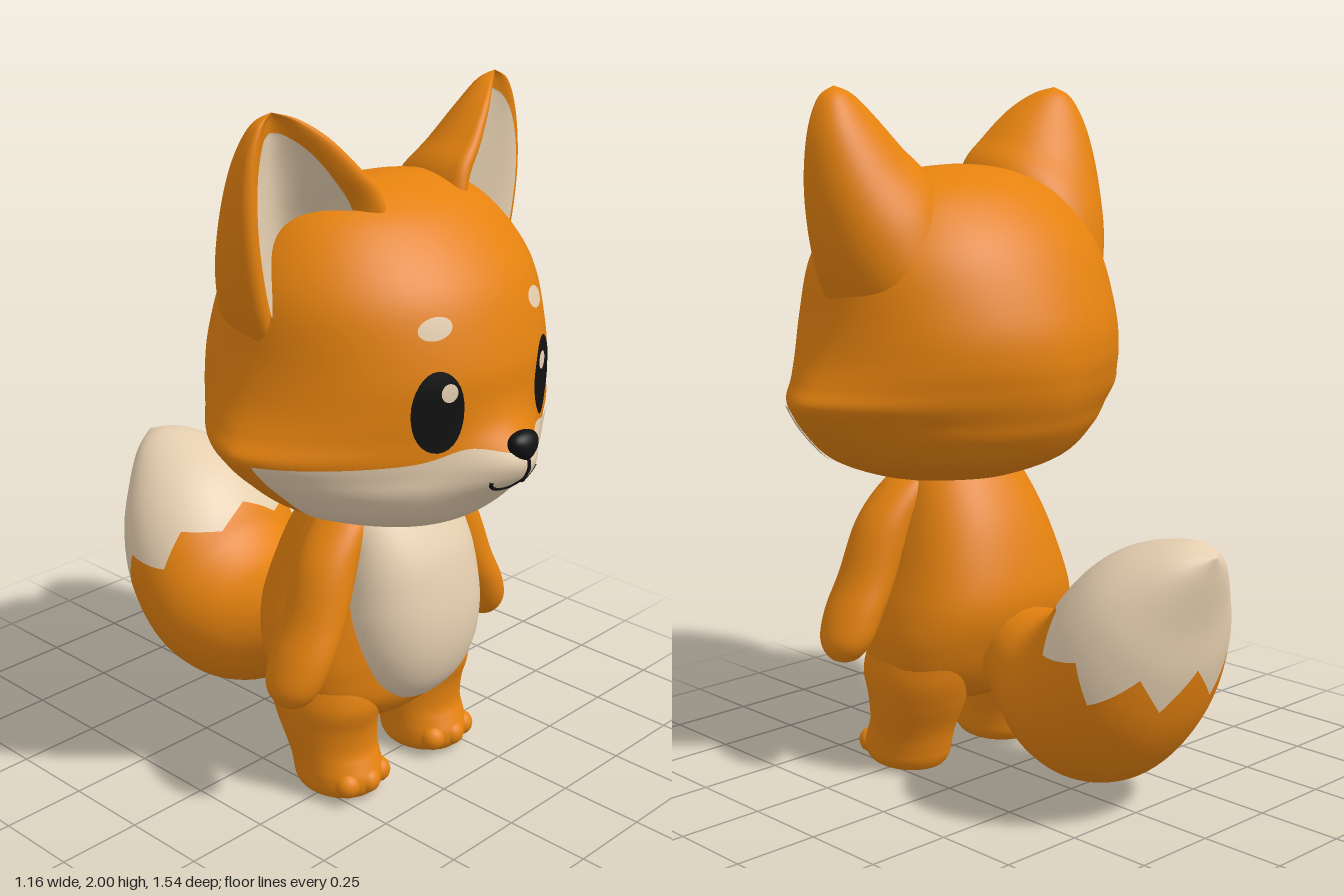
import * as THREE from 'three';
import { mergeVertices } from 'three/addons/utils/BufferGeometryUtils.js';

const material = (name, color) => Object.assign(new THREE.MeshStandardMaterial({ color }), { name });
const TAU = Math.PI * 2;

// Catmull-Rom blend of table rows at a fractional index
function sample(rows, t) {
  const last = rows.length - 1;
  const i = Math.min(Math.floor(t), last - 1), f = t - i;
  const row = (k) => rows[Math.max(0, Math.min(last, k))];
  const [a, b, c, d] = [row(i - 1), row(i), row(i + 1), row(i + 2)];
  return b.map((p, k) => p + 0.5 * f * (c[k] - a[k]
    + f * (2 * a[k] - 5 * p + 4 * c[k] - d[k] + f * (3 * (p - c[k]) + d[k] - a[k]))));
}

// Smooth mesh from point(u, v), u and v covering the given ranges
function surface(name, mat, point, [u0, u1, nu], [v0, v1, nv], flip = false) {
  const pos = [], index = [];
  for (let j = 0; j <= nv; j++)
    for (let i = 0; i <= nu; i++)
      pos.push(...point(u0 + (u1 - u0) * i / nu, v0 + (v1 - v0) * j / nv));
  for (let j = 0; j < nv; j++)
    for (let i = 0; i < nu; i++) {
      const a = j * (nu + 1) + i, b = a + 1, c = a + nu + 1, d = c + 1;
      index.push(...(flip ? [a, b, c, b, d, c] : [a, c, b, b, c, d]));
    }
  let geo = new THREE.BufferGeometry();
  geo.setAttribute('position', new THREE.Float32BufferAttribute(pos, 3));
  geo.setIndex(index);
  geo = mergeVertices(geo, 1e-5);
  geo.computeVertexNormals();
  const mesh = new THREE.Mesh(geo, mat);
  mesh.name = name;
  return mesh;
}

// Rows of horizontal rings: y, centre x, half width, front z, back z, widest z, roundness
const rings = (rows) => rows.map(([y, cx, w, zf, zb, zc = (zf + zb) / 2, n = 2]) => [y, cx, w, zf, zb, zc, n]);
const bend = (v, e) => Math.sign(v) * Math.abs(v) ** e;
function ringPoint(rows, a, t) {
  const [y, cx, w, zf, zb, zc, n] = sample(rows, t);
  const s = bend(Math.sin(a), 2 / n);
  return [cx + w * bend(Math.cos(a), 2 / n), y, zc + s * (s > 0 ? zf - zc : zc - zb)];
}
const ringMesh = (name, mat, rows, side = 1) => surface(name, mat, (a, t) => {
  const [x, y, z] = ringPoint(rows, a, t);
  return [side * x, y, z];
}, [0, TAU, 48], [0, rows.length - 1, (rows.length - 1) * 5], side < 0);

const HEAD = rings([
  [0.85, 0, 0, 0.34, 0.34, 0.34, 2], [0.857, 0, 0.13, 0.45, 0.17, 0.32, 2],
  [0.88, 0, 0.24, 0.53, 0.05, 0.3, 1.9], [0.94, 0, 0.39, 0.61, -0.1, 0.28, 1.8],
  [1.02, 0, 0.49, 0.662, -0.175, 0.26, 1.7], [1.08, 0, 0.55, 0.67, -0.205, 0.25, 1.6],
  [1.13, 0, 0.58, 0.67, -0.225, 0.24, 1.6], [1.18, 0, 0.55, 0.67, -0.235, 0.23, 1.7],
  [1.25, 0, 0.515, 0.67, -0.24, 0.22, 1.85], [1.35, 0, 0.488, 0.665, -0.225, 0.21, 1.95],
  [1.5, 0, 0.462, 0.622, -0.165, 0.21, 2], [1.6, 0, 0.415, 0.56, -0.105, 0.215, 2],
  [1.69, 0, 0.335, 0.47, -0.02, 0.22, 2], [1.74, 0, 0.245, 0.39, 0.06, 0.225, 2],
  [1.77, 0, 0.13, 0.305, 0.15, 0.23, 2], [1.78, 0, 0, 0.23, 0.23, 0.23, 2],
]);
const snout = (x, y) => 0.08 * Math.exp(-((x / 0.14) ** 2) - ((y - 1.09) / 0.085) ** 2);
function headPoint(a, t) {
  const [x, y, z] = ringPoint(HEAD, a, t);
  return [x, y, Math.sin(a) > 0 ? z + snout(x, y) : z];
}
function headIndex(y) {
  let lo = 0, hi = HEAD.length - 1;
  for (let i = 0; i < 40; i++) {
    const m = (lo + hi) / 2;
    if (sample(HEAD, m)[0] < y) lo = m; else hi = m;
  }
  return lo;
}
function faceZ(x, y) {
  const [, , w, zf, , zc, n] = sample(HEAD, headIndex(y));
  return zc + (zf - zc) * Math.max(0, 1 - Math.abs(x / w) ** n) ** (1 / n) + snout(x, y);
}

// Thin oval lying on the face
const faceOval = (name, mat, cx, cy, rx, ry, lift, tilt = 0) => surface(name, mat, (a, r) => {
  const p = r * rx * Math.cos(a), q = r * ry * Math.sin(a);
  const x = cx + p * Math.cos(tilt) - q * Math.sin(tilt), y = cy + p * Math.sin(tilt) + q * Math.cos(tilt);
  return [x, y, faceZ(x, y) + lift];
}, [0, TAU, 32], [0, 1, 6]);

// Ear sections: inner edge xyz, outer edge xyz, depth of the rounded back
const EAR = [
  [0.15, 1.48, 0.32, 0.4, 1.33, 0.22, 0.2], [0.12, 1.62, 0.36, 0.46, 1.39, 0.22, 0.29],
  [0.15, 1.77, 0.35, 0.51, 1.52, 0.23, 0.27], [0.22, 1.85, 0.34, 0.535, 1.7, 0.24, 0.2],
  [0.3, 1.93, 0.315, 0.525, 1.86, 0.245, 0.125], [0.37, 1.98, 0.28, 0.485, 1.965, 0.25, 0.06],
  [0.43, 2, 0.25, 0.43, 2, 0.25, 0],
];
function earPoint(side, a, t, lift = 0) {
  const [ax, ay, az, bx, by, bz, d] = sample(EAR, t);
  const c = Math.cos(a), s = Math.sin(a);
  const n = (s > 0 ? d * (0.35 * s - 0.75 * s ** 4) : -d * Math.abs(s) ** 0.8) + lift;
  const mix = (p, q) => (p + q) / 2 + c * (q - p) / 2;
  return [side * (mix(ax, bx) + 0.1 * n), mix(ay, by), mix(az, bz) + n];
}

// Tail sections: top z, top y, bottom z, bottom y, half width
const TAIL = [
  [0.02, 0.5, 0.06, 0.27, 0.1], [-0.1, 0.51, -0.08, 0.19, 0.17], [-0.2, 0.525, -0.22, 0.1, 0.23],
  [-0.28, 0.58, -0.37, 0.07, 0.27], [-0.33, 0.65, -0.52, 0.12, 0.295], [-0.4, 0.72, -0.64, 0.26, 0.29],
  [-0.48, 0.77, -0.705, 0.43, 0.25], [-0.58, 0.8, -0.73, 0.58, 0.18], [-0.68, 0.81, -0.755, 0.7, 0.095],
  [-0.768, 0.785, -0.768, 0.785, 0],
];
function tailPoint(a, t) {
  const [tz, ty, bz, by, w] = sample(TAIL, t);
  const c = Math.cos(a);
  return [-w * Math.sin(a), (ty + by) / 2 + c * (ty - by) / 2, (tz + bz) / 2 + c * (tz - bz) / 2];
}
const tailEdge = (a) => 4.85 - 1.05 * Math.cos(a) + 0.2 * Math.asin(Math.cos(8 * a));

const BODY = rings([
  [0.2, 0, 0, 0.2, 0.2, 0.2, 2], [0.22, 0, 0.18, 0.34, 0.07, 0.2, 2.2], [0.3, 0, 0.3, 0.41, 0, 0.19, 2.4],
  [0.4, 0, 0.325, 0.425, -0.05, 0.18, 2.4], [0.5, 0, 0.31, 0.43, -0.08, 0.17, 2.4],
  [0.6, 0, 0.28, 0.425, -0.07, 0.17, 2.4], [0.75, 0, 0.235, 0.41, -0.02, 0.18, 2.3],
  [0.87, 0, 0.19, 0.37, 0.045, 0.2, 2.2], [0.93, 0, 0.15, 0.33, 0.09, 0.21, 2],
]);
const BELLY = rings([
  [0.27, 0, 0, 0.37, 0.37, 0.37, 2], [0.295, 0, 0.1, 0.43, 0.3, 0.34, 2.2], [0.36, 0, 0.175, 0.485, 0.28, 0.33, 2.3],
  [0.45, 0, 0.217, 0.515, 0.28, 0.33, 2.3], [0.55, 0, 0.232, 0.52, 0.28, 0.33, 2.3],
  [0.65, 0, 0.226, 0.505, 0.28, 0.33, 2.3], [0.75, 0, 0.213, 0.475, 0.27, 0.32, 2.3],
  [0.85, 0, 0.19, 0.415, 0.25, 0.3, 2.3], [0.92, 0, 0.14, 0.36, 0.24, 0.29, 2],
]);
const ARM = rings([
  [0.352, 0.405, 0, 0.28, 0.28], [0.37, 0.405, 0.042, 0.33, 0.23], [0.42, 0.395, 0.07, 0.365, 0.195],
  [0.5, 0.362, 0.077, 0.38, 0.185], [0.6, 0.31, 0.08, 0.375, 0.185], [0.75, 0.25, 0.085, 0.36, 0.18],
  [0.85, 0.18, 0.072, 0.34, 0.18], [0.91, 0.13, 0.04, 0.3, 0.2],
]);
const LEG = rings([
  [0, 0.185, 0, 0.25, 0.25], [0.005, 0.185, 0.085, 0.35, 0.15], [0.03, 0.185, 0.115, 0.385, 0.122],
  [0.07, 0.185, 0.12, 0.392, 0.11], [0.11, 0.185, 0.122, 0.375, 0.1], [0.15, 0.185, 0.128, 0.36, 0.085],
  [0.22, 0.187, 0.137, 0.365, 0.05], [0.3, 0.19, 0.14, 0.385, 0.02], [0.4, 0.17, 0.14, 0.37, 0],
]);

export function createModel() {
  const orange = material('orangeFur', 0xe5820f);
  const cream = material('creamFur', 0xe6cfb0);
  const black = material('black', 0x111111);
  const model = new THREE.Group();
  model.name = 'fox';

  // Head with cream muzzle
  const muzzle = (a, v) => {
    const x = Math.abs(0.57 * bend(Math.cos(a), 1.25));
    const top = headIndex(1.12 + 0.03 * Math.exp(-(((x - 0.13) / 0.08) ** 2)));
    const p = headPoint(a, 0.02 + (top - 0.02) * v);
    const out = new THREE.Vector3(p[0], p[1] - 1.2, p[2] - 0.25).setLength(0.006);
    return [p[0] + out.x, p[1] + out.y, p[2] + out.z];
  };
  model.add(
    surface('head', orange, headPoint, [0, TAU, 112], [0, HEAD.length - 1, 90]),
    surface('muzzle', cream, muzzle, [0.22, Math.PI - 0.22, 64], [0, 1, 36]),
  );

  // Nose, wider at the top
  const noseGeo = new THREE.SphereGeometry(1, 28, 20);
  const p = noseGeo.attributes.position;
  for (let i = 0; i < p.count; i++) p.setX(i, p.getX(i) * (1 + 0.35 * p.getY(i)));
  noseGeo.scale(0.048, 0.042, 0.034);
  noseGeo.computeVertexNormals();
  const nose = new THREE.Mesh(noseGeo, black);
  nose.name = 'nose';
  nose.position.set(0, 1.138, 0.733);
  model.add(nose);

  // Mouth lines
  const mouthLine = (points) => {
    const curve = new THREE.CatmullRomCurve3(points.map(([x, y]) => new THREE.Vector3(x, y, faceZ(x, y) + 0.006)));
    const line = new THREE.Mesh(new THREE.TubeGeometry(curve, 20, 0.006, 8), black);
    line.name = 'mouth';
    model.add(line);
  };
  mouthLine([[0, 1.11], [0, 1.08], [0, 1.048]]);

  for (const side of [1, -1]) {
    mouthLine([[0, 1.05], [side * 0.025, 1.028], [side * 0.06, 1.025], [side * 0.083, 1.037], [side * 0.09, 1.055]]);
    // Eyes and brows
    model.add(
      faceOval('eye', black, side * 0.212, 1.255, 0.068, 0.11, 0.005),
      faceOval('eyeHighlight', cream, side * 0.188, 1.306, 0.022, 0.025, 0.009),
      faceOval('brow', cream, side * 0.2, 1.47, 0.046, 0.028, 0.006, -side * 0.2),
    );
    // Ears with cream lining
    const lining = (u, t) => {
      const taper = Math.sqrt(Math.max(0, 1 - ((t - 1.5) / 3.15) ** 4));
      return earPoint(side, 1.44 + 0.8 * u * taper, t, 0.006);
    };
    model.add(
      surface('ear', orange, (a, t) => earPoint(side, a, t), [0, TAU, 72], [0, 6, 42], side < 0),
      surface('earLining', cream, lining, [-1, 1, 24], [1.5, 4.65, 30], side < 0),
      ringMesh('arm', orange, ARM, side),
      ringMesh('leg', orange, LEG, side),
    );
    // Toes
    for (const x of [0.122, 0.185, 0.248]) {
      const toe = new THREE.Mesh(new THREE.SphereGeometry(0.038, 16, 12), orange);
      toe.name = 'toe';
      toe.position.set(side * x, 0.058, x === 0.185 ? 0.366 : 0.348);
      model.add(toe);
    }
  }

  // Body, belly and two-coloured tail
  model.add(
    ringMesh('body', orange, BODY),
    ringMesh('belly', cream, BELLY),
    surface('tail', orange, (a, v) => tailPoint(a, tailEdge(a) * v), [0, TAU, 96], [0, 1, 32]),
    surface('tailTip', cream, (a, v) => tailPoint(a, tailEdge(a) + (9 - tailEdge(a)) * v), [0, TAU, 96], [0, 1, 28]),
  );
  return model;
}
